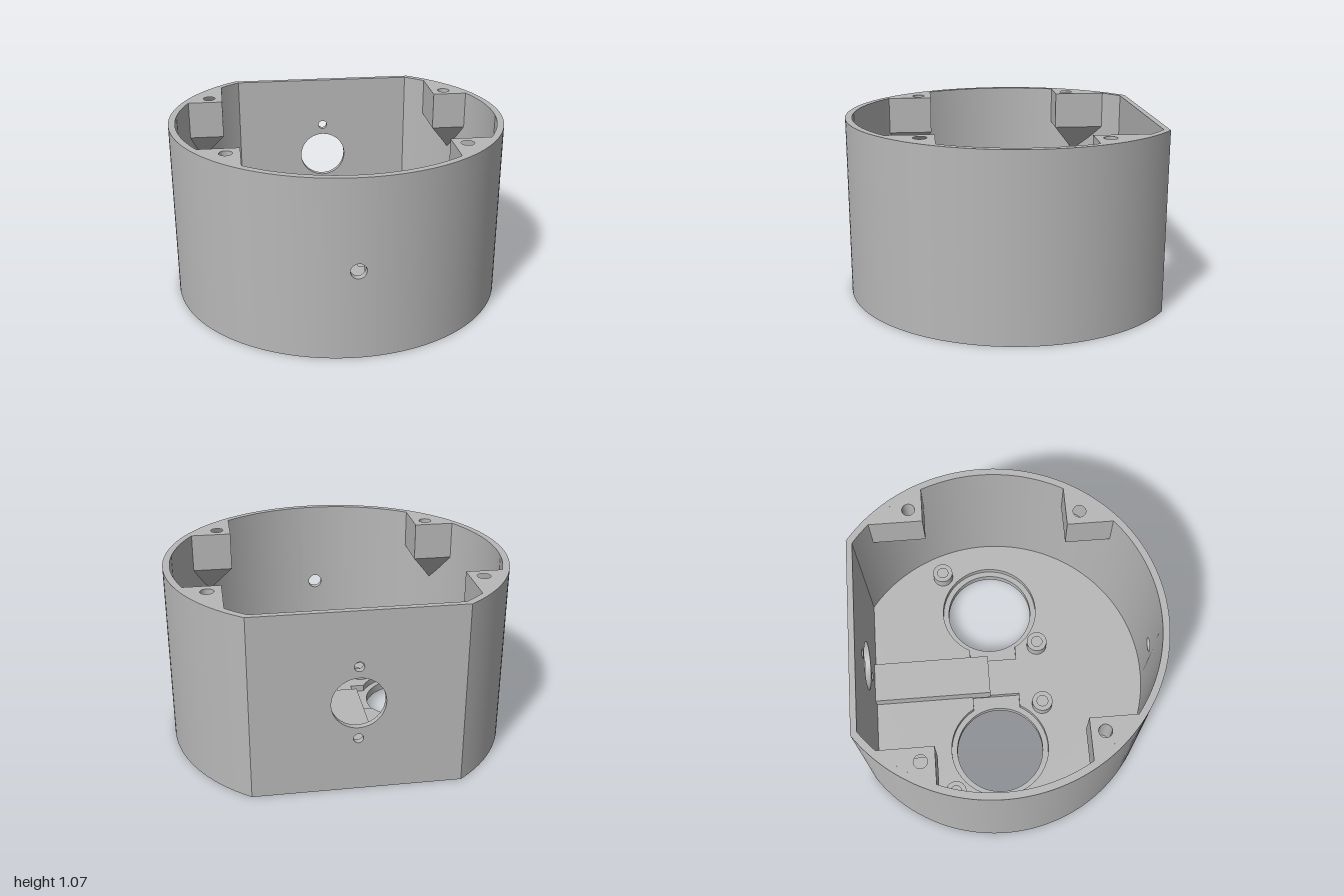
import * as THREE from 'three';
import { toCreasedNormals } from 'three/addons/utils/BufferGeometryUtils.js';
import { ConvexGeometry } from 'three/addons/geometries/ConvexGeometry.js';

const H = 1.07, C = -0.095;          // height, z of the round body's centre
const R = 1, RI = 0.96;              // outer and inner radius
const BACK = -0.905, BACK_IN = -0.87;
const EYE_X = 0.475, HOLE_Y = 0.535, WINDOW = 0.1;

// Plan coordinates (x, z) become shape coordinates (x, -z)
const plan = (x, z) => new THREE.Vector2(x, -z);
const polar = (r, a) => plan(r * Math.sin(a), C + r * Math.cos(a)); // a = 0 is the front
const arc = (r, a0, a1, n) =>
  Array.from({ length: n + 1 }, (_, i) => polar(r, a0 + ((a1 - a0) * i) / n));
const circle = (x, z, r, n = 48) =>
  Array.from({ length: n }, (_, i) => {
    const t = (i / n) * Math.PI * 2;
    return plan(x + r * Math.cos(t), z + r * Math.sin(t));
  });

// Extrude a plan outline with holes from y0 to y1
function slab(points, holes, y0, y1) {
  const shape = new THREE.Shape(points);
  shape.holes = holes.map((h) => new THREE.Path(h));
  const g = new THREE.ExtrudeGeometry(shape, { depth: y1 - y0, bevelEnabled: false });
  g.rotateX(-Math.PI / 2).translate(0, y0, 0);
  return toCreasedNormals(g, 0.5);
}

// Hole outline in an upright panel
function uprightHole(y, r, n = 40) {
  const p = new THREE.Path();
  for (let i = 0; i < n; i++) {
    const t = (i / n) * Math.PI * 2;
    const x = r * Math.cos(t), yy = y + r * Math.sin(t);
    if (i) p.lineTo(x, yy); else p.moveTo(x, yy);
  }
  return p;
}

// Curved groove with round ends
function smileGroove() {
  const r = 0.555, w = 0.014, e = 0.032, end = 0.76, pts = [];
  const open = Math.asin(w / e);
  pts.push(...arc(r + w, Math.PI - end + 0.05, Math.PI + end - 0.05, 32));
  const cap = (a, s) => {
    const c = polar(r, a);
    const out = polar(1, a).sub(polar(0, a));
    const along = polar(1, a + (s * Math.PI) / 2).sub(polar(0, a));
    for (let i = 0; i <= 16; i++) {
      const t = Math.PI - open - ((Math.PI - open) * 2 * i) / 16;
      const k = e * Math.cos(t), m = e * Math.sin(t) * s;
      pts.push(c.clone().addScaledVector(along, k).addScaledVector(out, m));
    }
  };
  cap(Math.PI + end, 1);
  pts.push(...arc(r - w, Math.PI + end - 0.05, Math.PI - end + 0.05, 32));
  cap(Math.PI - end, -1);
  return pts;
}

// Eye opening with a square notch toward the middle
function notchedEye(s) {
  const r = 0.31, a = Math.asin(0.15 / r), pts = [];
  for (let i = 0; i <= 44; i++) {
    const t = Math.PI + a + ((Math.PI * 2 - 2 * a) * i) / 44;
    pts.push(plan(s * (EYE_X + r * Math.cos(t)), C + r * Math.sin(t)));
  }
  pts.push(plan(s * 0.12, C + 0.15), plan(s * 0.12, C - 0.15));
  return pts;
}

export function createModel() {
  const group = new THREE.Group();
  const grey = new THREE.MeshStandardMaterial({ color: 0xb8b8b8 });
  grey.name = 'grey plastic';
  const add = (name, geometry) => {
    const m = new THREE.Mesh(geometry, grey);
    m.name = name;
    group.add(m);
  };

  const outEnd = Math.acos((BACK - C) / R), inEnd = Math.acos((BACK_IN - C) / RI);
  const backX = RI * Math.sin(inEnd);

  // Curved side walls
  for (const s of [1, -1]) {
    add(s > 0 ? 'leftWall' : 'rightWall', slab([
      ...arc(R, s * WINDOW, s * outEnd, 64),
      plan(s * backX, BACK),
      ...arc(RI, s * inEnd, s * WINDOW, 64),
    ], [], 0, H));
  }

  // Front wall panel with a small hole, bent round the body
  const front = new THREE.Shape();
  front.moveTo(-WINDOW, 0);
  for (let i = 1; i <= 6; i++) front.lineTo(-WINDOW + (2 * WINDOW * i) / 6, 0);
  for (let i = 0; i <= 6; i++) front.lineTo(WINDOW - (2 * WINDOW * i) / 6, H);
  front.holes.push(uprightHole(HOLE_Y, 0.045));
  const bent = new THREE.ExtrudeGeometry(front, { depth: R - RI, bevelEnabled: false });
  const p = bent.attributes.position, n = bent.attributes.normal;
  for (let i = 0; i < p.count; i++) {
    const a = p.getX(i), r = RI + p.getZ(i), nx = n.getX(i), nz = n.getZ(i);
    p.setXYZ(i, r * Math.sin(a), p.getY(i), C + r * Math.cos(a));
    n.setXYZ(i, nx * Math.cos(a) + nz * Math.sin(a), n.getY(i), nz * Math.cos(a) - nx * Math.sin(a));
  }
  add('frontWall', bent);

  // Flat back wall with a large opening and two screw holes
  const back = new THREE.Shape([
    new THREE.Vector2(-backX, 0), new THREE.Vector2(backX, 0),
    new THREE.Vector2(backX, H), new THREE.Vector2(-backX, H),
  ]);
  back.holes.push(uprightHole(HOLE_Y, 0.15), uprightHole(HOLE_Y + 0.216, 0.028, 24),
    uprightHole(HOLE_Y - 0.216, 0.028, 24));
  const backGeo = new THREE.ExtrudeGeometry(back, { depth: BACK_IN - BACK, bevelEnabled: false });
  add('backWall', toCreasedNormals(backGeo.translate(0, 0, BACK), 0.5));

  // Floor in three layers: outer recesses, eye rims, inner recesses
  const floor = arc(RI, -inEnd, inEnd, 128);
  const eyes = (r) => [1, -1].map((s) => circle(s * EYE_X, C, r, 64));
  add('floorFace', slab(floor, [...eyes(0.4), smileGroove()], 0, 0.03));
  add('floorRims', slab(floor, eyes(0.275), 0.03, 0.08));
  add('floorInside', slab(floor, [notchedEye(1), notchedEye(-1)], 0.08, 0.12));

  // Raised bar on the floor, running in from the back wall
  const bar = new THREE.BoxGeometry(0.25, 0.1, 0.74);
  add('floorBar', bar.translate(0, 0.15, -0.5));

  // Hollow posts on the floor
  for (const s of [1, -1]) {
    for (const [x, z] of [[0.75, -0.39], [0.205, 0.2]]) {
      add('floorPost', slab(circle(s * x, z, 0.065, 32), [circle(s * x, z, 0.035, 24)], 0.12, 0.19));
    }
  }

  // Corner screw blocks with a tapering underside
  const blocks = [
    { x: 0.68, z: -0.455, dir: -1, hole: [0.76, -0.535] },
    { x: 0.59, z: 0.39, dir: 1, hole: [0.67, 0.47] },
  ];
  const base = H - 0.23;
  for (const s of [1, -1]) {
    for (const b of blocks) {
      const ends = (r) => {
        const side = Math.asin(b.x / r);
        return [Math.acos((b.z - C) / r), b.dir > 0 ? side : Math.PI - side];
      };
      const [a0, a1] = ends(RI);
      add('screwBlock', slab(
        [plan(s * b.x, b.z), ...arc(RI, s * a0, s * a1, 12)],
        [circle(s * b.hole[0], b.hole[1], 0.038, 28)], base, H));
      const corners = ends(0.98).map((a) => polar(0.98, s * a));
      add('screwBlockTaper', new ConvexGeometry([
        new THREE.Vector3(s * b.x, base, b.z),
        ...corners.map((c) => new THREE.Vector3(c.x, base, -c.y)),
        new THREE.Vector3(s * (b.x + 0.142), base - 0.185, b.z + b.dir * 0.142),
      ]));
    }
  }
  return group;
}
